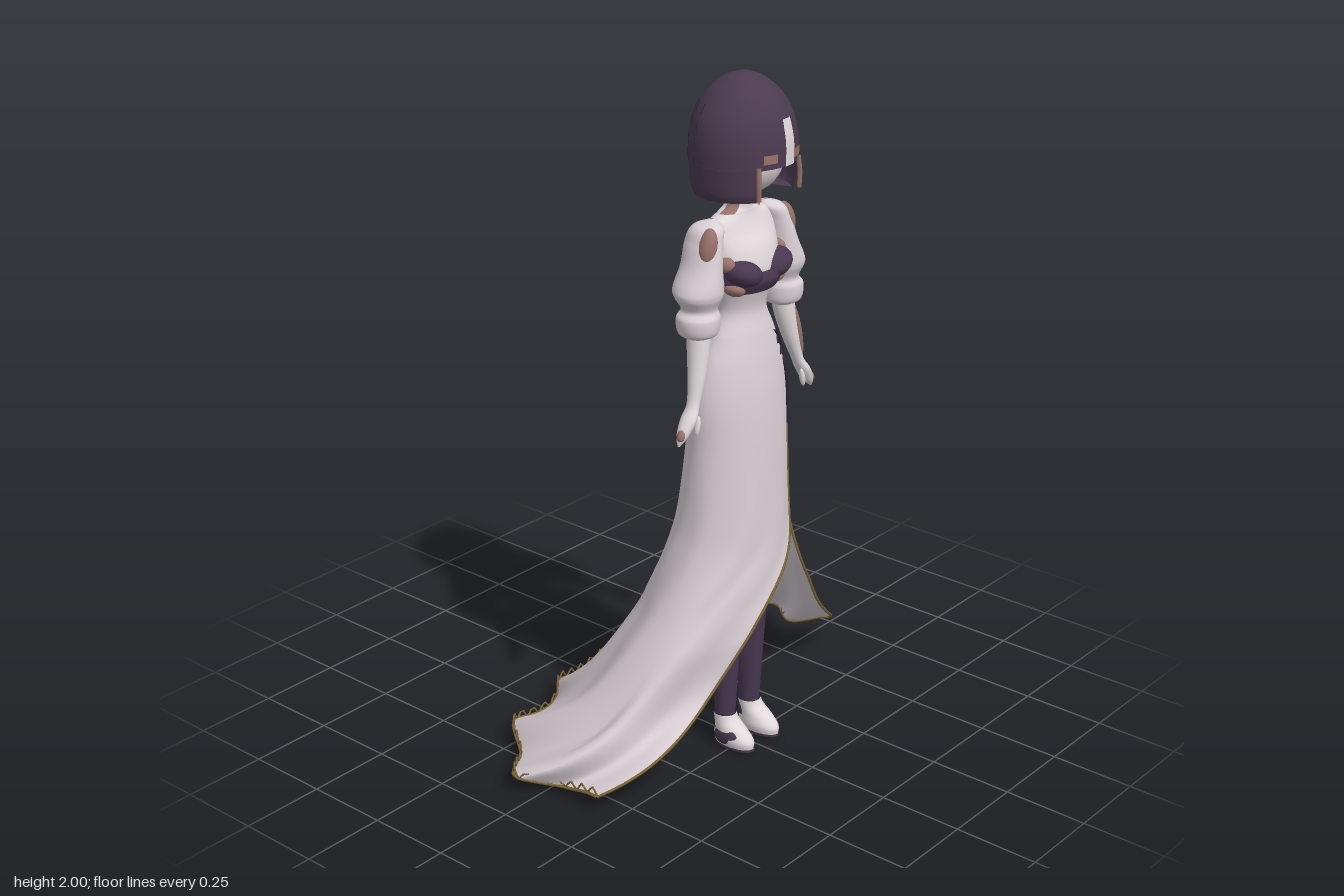
import * as THREE from 'three';
import { ParametricGeometry } from 'three/addons/geometries/ParametricGeometry.js';

const mat = (name, color, side = THREE.FrontSide) => {
  const m = new THREE.MeshStandardMaterial({ color, side });
  m.name = name;
  return m;
};
const V = (x, y, z) => new THREE.Vector3(x, y, z);

// Smooth interpolation down a table of numbers, t from 0 to 1
function sample(rows, t) {
  const n = rows.length - 1, f = Math.min(t * n, n - 1e-9), i = Math.floor(f), k = f - i;
  const row = j => rows[Math.max(0, Math.min(n, j))];
  return rows[0].map((_, c) => {
    const a = row(i - 1)[c], b = row(i)[c], d = row(i + 1)[c], e = row(i + 2)[c];
    return b + 0.5 * k * (d - a + k * (2 * a - 5 * b + 4 * d - e + k * (3 * (b - d) + e - a)));
  });
}

// Loft through rows of [y, centre x, centre z, radius x, front radius z, back radius z], bottom to top
function loft(rows, a0 = -Math.PI, a1 = Math.PI, segs = 32, grow = 1) {
  return new ParametricGeometry((u, v, p) => {
    const [y, cx, cz, rx, rf, rb] = sample(rows, v);
    const a = a0 + (a1 - a0) * u, c = Math.cos(a);
    p.set(cx + rx * grow * Math.sin(a), y, cz + (c > 0 ? rf : rb) * grow * c);
  }, segs, (rows.length - 1) * 5);
}
const round = rows => rows.map(([y, x, z, rx, rz]) => [y, x, z, rx, rz, rz]);

// Skirt rows: y, half width, centre z, back depth, front depth, x of the two slit edges
const skirtRows = [
  [0.04, 0.61, 0.05, 0.40, 0.40, -0.58, 0.61],
  [0.2, 0.455, 0.12, 0.32, 0.19, -0.26, 0.44],
  [0.4, 0.32, 0.17, 0.24, 0.17, -0.1, 0.295],
  [0.51, 0.26, 0.18, 0.2, 0.162, 0, 0.225],
  [0.64, 0.21, 0.19, 0.163, 0.143, 0.12, 0.187],
  [0.75, 0.186, 0.2, 0.143, 0.13, 0.14, 0.165],
  [0.95, 0.172, 0.205, 0.115, 0.12, 0.14, 0.142],
  [1.1, 0.17, 0.205, 0.1, 0.112, 0.135, 0.135],
  [1.2, 0.15, 0.21, 0.09, 0.095, 0.115, 0.115],
  [1.28, 0.115, 0.215, 0.07, 0.075, 0.088, 0.088],
  [1.35, 0.087, 0.215, 0.05, 0.06, 0.065, 0.065],
  [1.42, 0.112, 0.215, 0.07, 0.078, 0.085, 0.085],
].map(([y, w, c, b, f, l, r]) => [y, w, c, b, f, Math.acos(l / w), Math.acos(r / w) + 2 * Math.PI]);

// Wavy outline of the hem on the floor, from the right front corner round the back
const hem = new THREE.SplineCurve([
  [-0.58, 0.19], [-0.575, 0.05], [-0.65, -0.05], [-0.58, -0.12], [-0.52, -0.16], [-0.42, -0.28],
  [-0.25, -0.28], [-0.15, -0.345], [0.03, -0.35], [0.15, -0.31], [0.3, -0.33], [0.38, -0.27],
  [0.48, -0.2], [0.63, -0.14], [0.59, -0.04], [0.65, 0.07],
].map(p => new THREE.Vector2(...p)));

function skirtPoint(u, v, p = V(0, 0, 0)) {
  const at = t => {
    const [y, w, c, b, f, l, r] = sample(skirtRows, t);
    const a = r + (l - r) * u, s = Math.sin(a);
    const fold = 1 + 0.035 * Math.max(0, 0.95 - y) * Math.sin(u * 16 * Math.PI);
    return [w * fold * Math.cos(a), y, c + (s > 0 ? f : b) * fold * s];
  };
  const [x, y, z] = at(v), base = at(0), h = hem.getPointAt(1 - u);
  const k = Math.max(0, (0.85 - y) / 0.81) ** 2.4;
  const lift = 0.012 * Math.cos(u * 14 * Math.PI) + 0.03 * (1 - u) ** 3;
  return p.set(x + k * (h.x - base[0]), y + k * lift, z + k * (h.y - base[2]));
}

// Point just in front of the skirt at a given x and y
function onFront(x, y) {
  let i = 0;
  while (i < skirtRows.length - 2 && skirtRows[i + 1][0] < y) i++;
  const A = skirtRows[i], B = skirtRows[i + 1], k = (y - A[0]) / (B[0] - A[0]);
  const [, w, c, , f] = A.map((a, j) => a + (B[j] - a) * k);
  return V(x, y, c + f * Math.sqrt(Math.max(0, 1 - (x / w) ** 2)) + 0.006);
}

export function createModel() {
  const dress = mat('dress fabric', 0xdad0d6, THREE.DoubleSide);
  const skin = mat('pale skin', 0xe0d8da);
  const plum = mat('plum hair', 0x4c3b50, THREE.DoubleSide);
  const stocking = mat('plum stocking', 0x483750);
  const gold = mat('gold trim', 0x80683a);
  const brown = mat('rose brown', 0x98726a);
  const dark = mat('dark cord', 0x30263a);
  const model = new THREE.Group(), gown = new THREE.Group(), body = new THREE.Group();
  gown.name = 'gown';
  body.name = 'body';
  body.position.x = 0.01;
  model.add(gown, body);
  let parent = gown;
  const add = (name, geo, m, x = 0, y = 0, z = 0) => {
    const mesh = new THREE.Mesh(geo, m);
    mesh.name = name;
    mesh.position.set(x, y, z);
    parent.add(mesh);
    return mesh;
  };
  const tube = (name, pts, r, m) =>
    add(name, new THREE.TubeGeometry(new THREE.CatmullRomCurve3(pts), pts.length * 2, r, 5), m);
  const blob = (name, m, pos, scale, tilt = 0) => {
    const b = add(name, new THREE.SphereGeometry(1, 20, 14), m, ...pos);
    b.scale.set(...scale);
    b.rotation.z = tilt;
  };
  const line = (n, fn) => Array.from({ length: n + 1 }, (_, i) => fn(i / n, i));

  // Gown skirt with slit, train and gold borders
  add('skirt', new ParametricGeometry(skirtPoint, 140, 66), dress);
  tube('hemTrim', line(90, t => skirtPoint(t, 0)), 0.005, gold);
  tube('hemLace', line(90, (t, i) => skirtPoint(t, 0.001).add(V(0, i % 2 ? 0.024 : 0, 0))), 0.003, gold);
  for (const u of [0, 1]) tube('slitTrim', line(40, t => skirtPoint(u, t * 0.62)), 0.0045, gold);

  // Corset lacing above the slit
  const lace = (...p) => tube('lacing', p.map(q => onFront(...q)), 0.005, dark);
  for (let i = 0; i < 3; i++) {
    const x = 0.088 + i * 0.014, y = 1.262 - i * 0.035;
    lace([x - 0.018, y + 0.014], [x + 0.03, y - 0.034]);
    lace([x + 0.026, y + 0.004], [x - 0.01, y - 0.032]);
  }
  lace([0.115, 1.17], [0.124, 1.08], [0.128, 0.98]);
  lace([0.125, 1.17], [0.137, 1.1], [0.14, 1.03]);

  // Torso, neck and back of the bodice
  parent = body;
  const torso = [
    [1.4, 0, 0.215, 0.1, 0.068, 0.064], [1.46, 0, 0.215, 0.12, 0.082, 0.08],
    [1.52, 0, 0.21, 0.125, 0.073, 0.078], [1.57, 0, 0.205, 0.128, 0.05, 0.064],
    [1.6, 0, 0.2, 0.115, 0.042, 0.05], [1.62, 0, 0.2, 0.075, 0.037, 0.04],
    [1.645, 0, 0.2, 0.042, 0.035, 0.035], [1.74, 0, 0.205, 0.038, 0.035, 0.035],
  ];
  add('chestAndNeck', loft(torso), skin);
  add('bodiceBack', loft(torso.slice(0, 5), 1.35, 2 * Math.PI - 1.35, 32, 1.04), dress);
  tube('backNeckline', [V(-0.1, 1.612, 0.175), V(-0.06, 1.585, 0.145), V(0, 1.572, 0.135),
    V(0.06, 1.585, 0.145), V(0.1, 1.612, 0.175)], 0.007, gold);

  // Dark sweetheart neckline with rose brown edges
  add('bustBand', loft([[1.408, 0, 0.215, 0.108, 0.084, 0.08], [1.44, 0, 0.215, 0.122, 0.1, 0.08],
    [1.468, 0, 0.215, 0.126, 0.092, 0.08]], -1.25, 1.25), stocking);

  // Parts mirrored by s
  for (const s of [1, -1]) {
    const side = rows => round(rows.map(([y, x, ...rest]) => [y, s * x, ...rest]));
    const arc = (a, b) => s > 0 ? [a, b] : [-b, -a];
    blob('bustCup', stocking, [s * 0.065, 1.464, 0.264], [0.06, 0.038, 0.057], s * 0.35);
    blob('bustUpperEdge', brown, [s * 0.11, 1.496, 0.244], [0.018, 0.022, 0.03], s * 0.4);
    blob('bustLowerEdge', brown, [s * 0.086, 1.422, 0.25], [0.032, 0.02, 0.038], s * 0.4);
    add('neckPatch', loft(torso.slice(5), ...arc(0.75, 1.7), 8, 1.03), brown);
    add('puffSleeve', loft(side([
      [1.305, 0.182, 0.21, 0.035, 0.035], [1.32, 0.182, 0.21, 0.056, 0.056], [1.36, 0.182, 0.21, 0.061, 0.06],
      [1.385, 0.177, 0.21, 0.05, 0.05], [1.42, 0.178, 0.207, 0.067, 0.067], [1.445, 0.176, 0.205, 0.065, 0.071],
      [1.5, 0.163, 0.205, 0.047, 0.063], [1.56, 0.148, 0.2, 0.042, 0.058], [1.6, 0.132, 0.2, 0.038, 0.045],
      [1.617, 0.115, 0.2, 0.004, 0.005],
    ])), dress);
    add('forearm', loft(side([
      [1.025, 0.292, 0.235, 0.003, 0.003], [1.05, 0.276, 0.235, 0.019, 0.016], [1.09, 0.252, 0.235, 0.021, 0.024],
      [1.13, 0.228, 0.232, 0.017, 0.019], [1.2, 0.205, 0.225, 0.025, 0.026], [1.27, 0.189, 0.217, 0.031, 0.032],
      [1.34, 0.18, 0.21, 0.033, 0.034],
    ]), -Math.PI, Math.PI, 20), skin);
    blob('thumb', skin, [s * 0.232, 1.07, 0.25], [0.008, 0.028, 0.009], s * 0.2);
    blob('shoulderPatch', brown, [s * 0.168, 1.555, 0.23], [0.024, 0.053, 0.028], s * 0.25);
    blob('handPatch', brown, [s * 0.285, 1.055, 0.238], [0.012, 0.018, 0.012], s * 0.5);

    add('leg', loft(side([
      [0.05, 0.056, 0.21, 0.03, 0.03], [0.13, 0.056, 0.212, 0.031, 0.032], [0.3, 0.056, 0.21, 0.041, 0.044],
      [0.5, 0.056, 0.222, 0.045, 0.046], [0.66, 0.056, 0.222, 0.05, 0.052], [0.9, 0.062, 0.21, 0.062, 0.07],
    ])), stocking);
    add('shoe', loft(side([
      [0.008, 0.058, 0.25, 0.034, 0.066], [0.03, 0.058, 0.248, 0.039, 0.068], [0.055, 0.058, 0.237, 0.037, 0.054],
      [0.08, 0.057, 0.22, 0.034, 0.038], [0.1, 0.056, 0.212, 0.033, 0.034],
    ])), skin);
    blob('shoeSide', stocking, [s * 0.083, 0.036, 0.24], [0.015, 0.03, 0.045]);
    add('sole', loft(side([
      [0, 0.058, 0.25, 0.001, 0.001], [0.001, 0.058, 0.25, 0.032, 0.064], [0.012, 0.058, 0.25, 0.037, 0.069],
    ])), stocking);

    // Eyes, lashes and earrings
    blob('eye', dark, [s * 0.047, 1.762, 0.316], [0.018, 0.005, 0.006]);
    add('lash', loft(round([[1.782, 0, 0.212, 0.158, 0.148], [1.806, 0, 0.212, 0.158, 0.148]]),
      ...arc(0.22, 0.5), 6), brown);
    tube('earring', [V(s * 0.084, 1.775, 0.333), V(s * 0.088, 1.73, 0.337), V(s * 0.086, 1.685, 0.337)], 0.007, brown);
  }
  blob('forearmPatch', brown, [0.219, 1.21, 0.232], [0.016, 0.1, 0.021], 0.24);

  // Face
  blob('face', skin, [0, 1.775, 0.222], [0.1, 0.105, 0.106]);

  // Bob haircut: side curtain, cap, parting and fine strands
  const cap = round([
    [1.765, 0, 0.212, 0.153, 0.143], [1.83, 0, 0.212, 0.151, 0.142], [1.89, 0, 0.212, 0.135, 0.13],
    [1.945, 0, 0.212, 0.1, 0.1], [1.982, 0, 0.212, 0.056, 0.057], [1.996, 0, 0.212, 0.022, 0.022],
    [2, 0, 0.212, 0.001, 0.001],
  ]);
  const curtain = round([[1.675, 0, 0.212, 0.139, 0.128], [1.7, 0, 0.212, 0.147, 0.137], [1.765, 0, 0.212, 0.153, 0.143]]);
  add('hairCap', loft(cap, -Math.PI, Math.PI, 40), plum);
  add('hairCurtain', loft(curtain, 0.58, 2 * Math.PI - 0.58, 40), plum);
  add('hairUnderside', loft(round([[1.69, 0, 0.2, 0.04, 0.04], [1.676, 0, 0.212, 0.138, 0.127]]), 0.8, 2 * Math.PI - 0.8), plum);
  add('parting', loft(cap.slice(0, 3), 0, 0.27, 8, 1.012), skin);
  for (let i = -4; i <= 4; i++) {
    const a = Math.PI + i * 0.3;
    for (const t0 of [0, 0.12, 0.24, 0.36]) tube('hairStrand', line(3, t => {
      const [y, , cz, rx, rz] = sample(cap, t0 + t * 0.07);
      return V(rx * Math.sin(a), y, cz + rz * Math.cos(a));
    }), 0.0014, dark);
  }
  return model;
}
